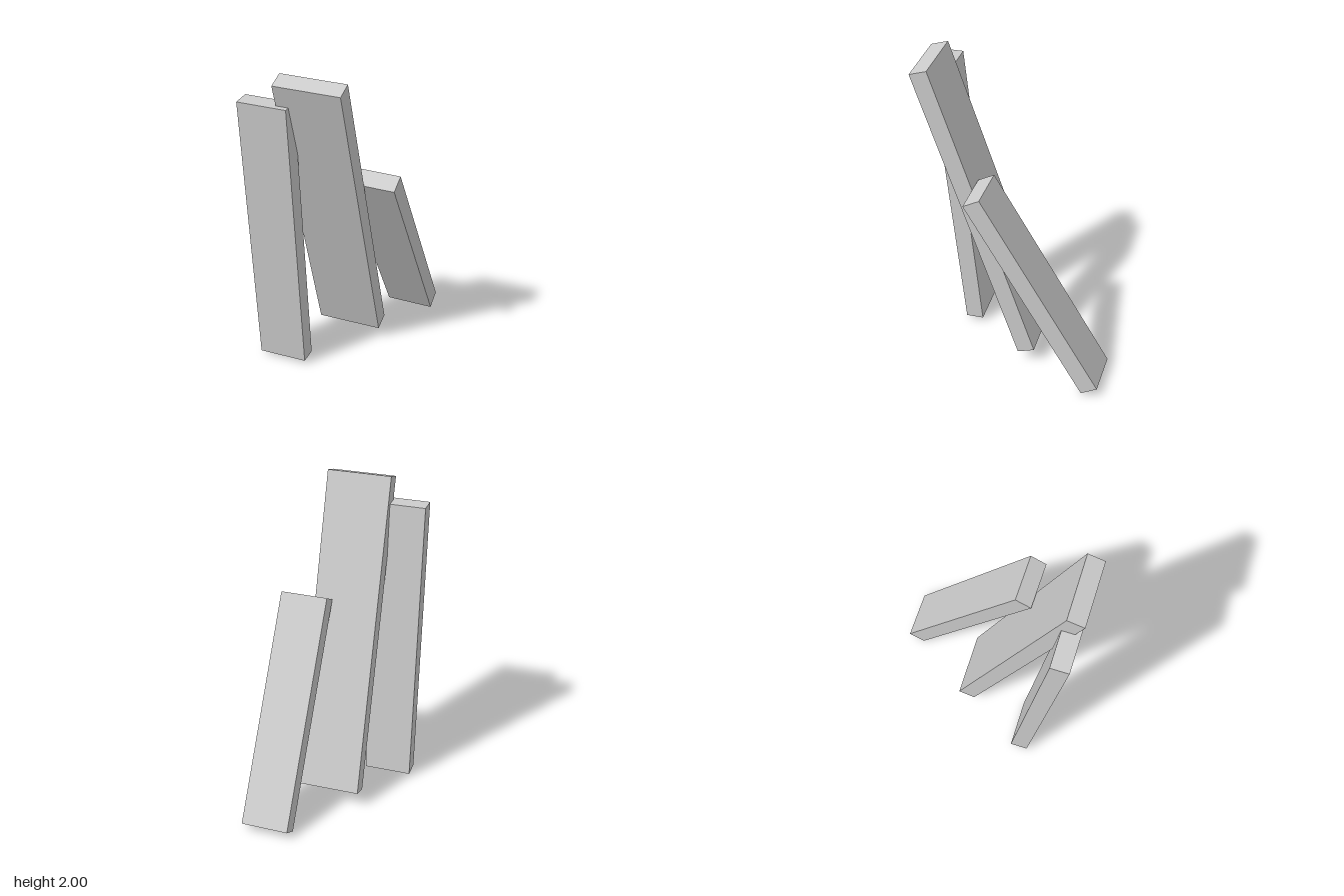
import * as THREE from 'three';

// Plank: side outline as [z, y] corners, extruded across x around its own centre
function plank(name, corners, width, position, turn, material) {
  const shape = new THREE.Shape(corners.map(([z, y]) => new THREE.Vector2(z, y)));
  const geometry = new THREE.ExtrudeGeometry(shape, { depth: width, bevelEnabled: false });
  geometry.translate(0, 0, -width / 2);
  geometry.rotateY(-Math.PI / 2);
  const mesh = new THREE.Mesh(geometry, material);
  mesh.name = name;
  mesh.position.set(...position);
  mesh.rotation.y = turn;
  return mesh;
}

export function createModel() {
  const group = new THREE.Group();
  group.name = 'leaningPlanks';
  const grey = new THREE.MeshStandardMaterial({ color: 0xcccccc });
  grey.name = 'light grey';

  // Narrow front plank, cut level at both ends
  group.add(plank('frontPlank',
    [[0.405, 0.025], [0.295, 0.025], [0.476, 1.83], [0.588, 1.83]],
    0.298, [-0.265, 0, 0], 0, grey));

  // Tall wide middle plank, square ends
  group.add(plank('middlePlank',
    [[-0.035, 0.073], [-0.14, 0.107], [0.495, 2.0], [0.6, 1.967]],
    0.402, [0.01, 0, 0], 0, grey));

  // Short back plank, steepest lean and turned slightly
  group.add(plank('backPlank',
    [[-0.319, 0], [-0.419, 0.056], [0.319, 1.308], [0.419, 1.254]],
    0.298, [0.256, 0, -0.177], -0.02, grey));

  return group;
}
